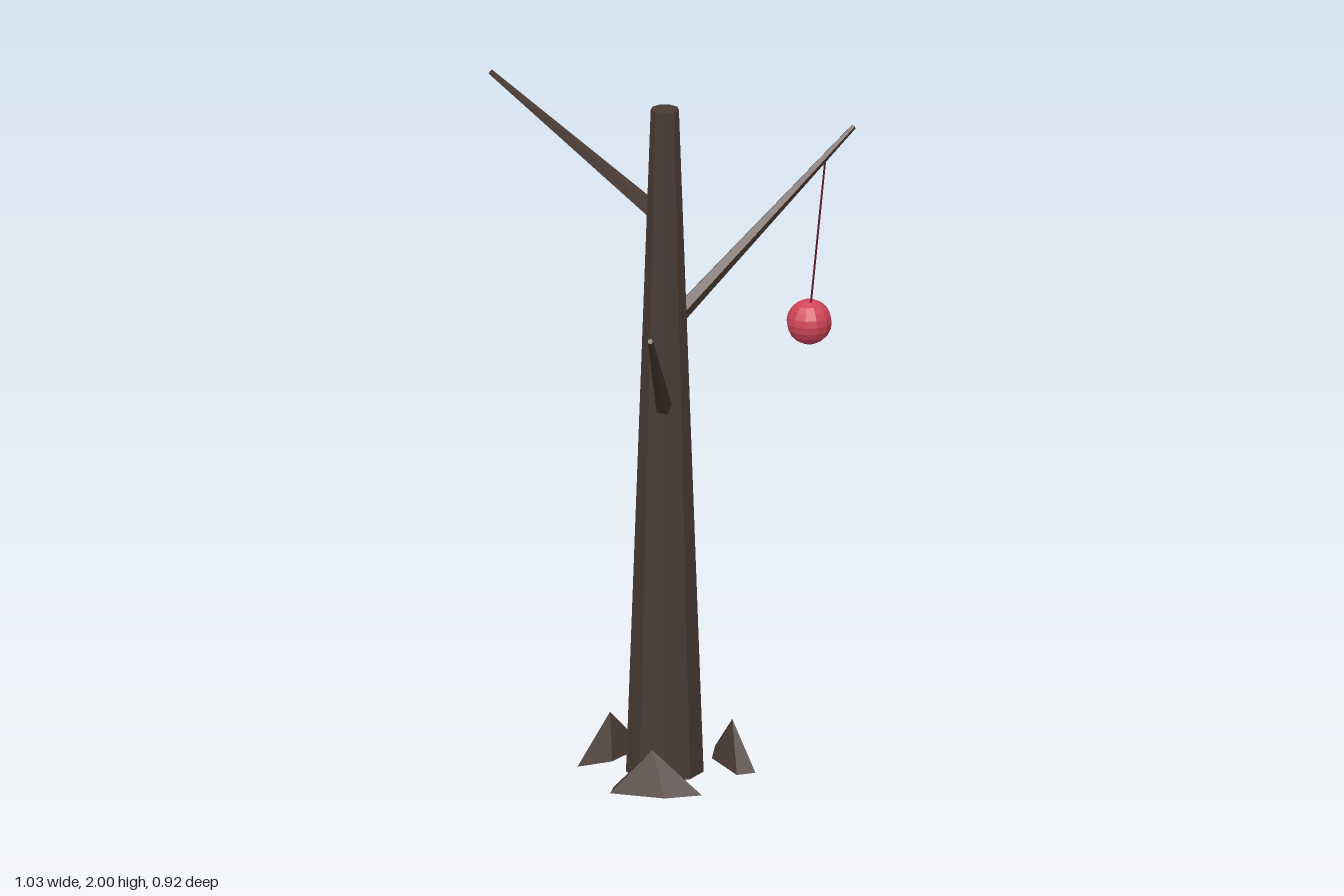
import * as THREE from 'three';

const mat = (name, color) => {
  const m = new THREE.MeshStandardMaterial({ color, flatShading: true });
  m.name = name;
  return m;
};

export function createModel() {
  const bark = mat('darkBark', 0x4a3a33);
  const red = mat('red', 0xd04558);
  const cord = mat('darkRed', 0x6b1f2a);
  const model = new THREE.Group();
  model.name = 'bareTree';
  const X = -0.12, Z = -0.095; // trunk axis

  const add = (name, geometry, material, parent = model) => {
    const mesh = new THREE.Mesh(geometry, material);
    mesh.name = name;
    parent.add(mesh);
    return mesh;
  };

  // tapered rod between two points
  const rod = (name, from, to, r0, r1, sides, material) => {
    const dir = to.clone().sub(from);
    const mesh = add(name, new THREE.CylinderGeometry(r1, r0, dir.length(), sides), material);
    mesh.position.copy(from).addScaledVector(dir, 0.5);
    mesh.quaternion.setFromUnitVectors(new THREE.Vector3(0, 1, 0), dir.normalize());
  };

  // trunk
  const trunk = add('trunk', new THREE.CylinderGeometry(0.04, 0.11, 1.95, 9), bark);
  trunk.position.set(X, 0.975, Z);
  trunk.rotation.y = Math.PI;

  // branches: height on the trunk axis, then tip
  const branches = [
    ['upperBranch', 1.62, [-0.51, 1.99, -0.45]],
    ['middleBranch', 1.30, [0.51, 1.76, -0.29]],
    ['lowerBranch', 1.05, [-0.36, 1.47, 0.45]],
  ];
  for (const [name, y, tip] of branches) {
    const end = new THREE.Vector3(...tip);
    const start = new THREE.Vector3(X, y, Z).lerp(end, 0.07);
    rod(name, start, end, 0.025, 0.008, 5, bark);
  }

  // three squeezed pentagonal root wedges around the trunk
  for (let i = 0; i < 3; i++) {
    const pivot = new THREE.Group();
    pivot.name = 'root' + (i + 1);
    pivot.position.set(X, 0, Z);
    pivot.rotation.y = (i * Math.PI * 2) / 3;
    const root = add('rootWedge', new THREE.ConeGeometry(0.141, 0.125, 5), bark, pivot);
    root.position.set(0.2, 0.0625, 0);
    root.rotation.y = Math.PI;
    root.scale.x = 1 / 3;
    model.add(pivot);
  }

  // hanging ball on a slanted string
  const ball = add('ball', new THREE.SphereGeometry(0.064, 12, 10), red);
  ball.position.set(0.417, 1.16, -0.397);
  rod('string', new THREE.Vector3(0.417, 1.69, -0.262), new THREE.Vector3(0.417, 1.2, -0.387),
    0.003, 0.003, 5, cord);

  return model;
}
